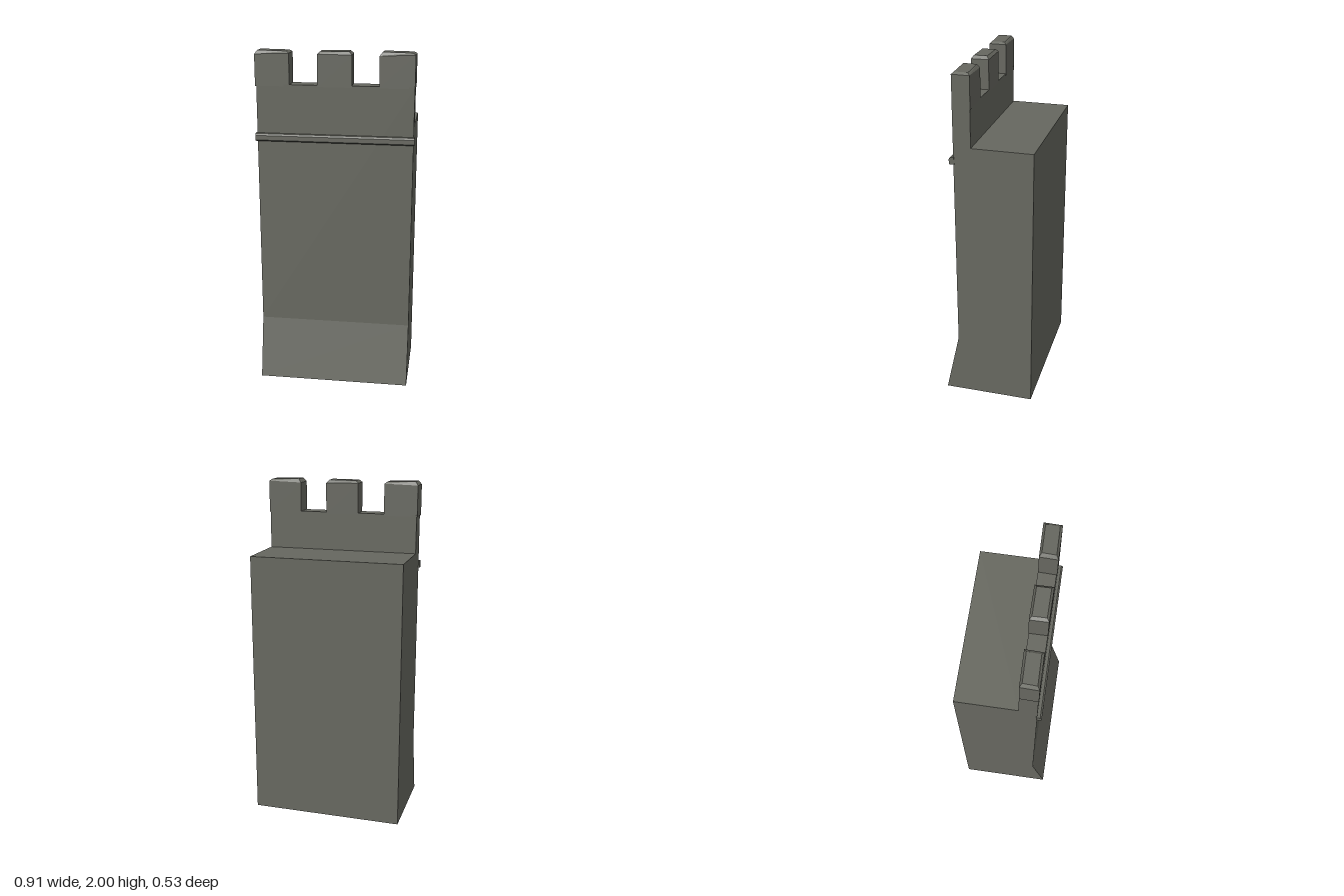
import * as THREE from 'three';

export function createModel() {
  const model = new THREE.Group();
  const stone = new THREE.MeshStandardMaterial({ color: 0x66675f });
  stone.name = 'stone';

  const add = (name, geometry) => {
    const flat = geometry.index ? geometry.toNonIndexed() : geometry;
    flat.computeVertexNormals();
    const mesh = new THREE.Mesh(flat, stone);
    mesh.name = name;
    model.add(mesh);
  };

  // Sweeps a side profile of [z, y] points from x0 to x1
  const sweep = (points, x0, x1) => {
    const shape = new THREE.Shape(points.map(([z, y]) => new THREE.Vector2(z, y)));
    return new THREE.ExtrudeGeometry(shape, { depth: x1 - x0, bevelEnabled: false })
      .rotateY(-Math.PI / 2)
      .translate(x1, 0, 0);
  };

  // Wall with sloped foot, walkway and parapet
  add('wall', sweep([
    [-0.265, 0], [0.265, 0], [0.185, 0.365], [0.185, 1.81],
    [0.085, 1.81], [0.085, 1.585], [-0.265, 1.585],
  ], -0.45, 0.45));

  // String course, slightly crooked
  const ledge = sweep([
    [0.18, 1.487], [0.202, 1.485], [0.209, 1.492], [0.209, 1.518], [0.2, 1.528], [0.18, 1.53],
  ], -0.458, 0.456);
  const lp = ledge.attributes.position;
  for (let i = 0; i < lp.count; i++) {
    if (lp.getX(i) > 0) lp.setY(i, lp.getY(i) - 0.002);
    else if (lp.getZ(i) > 0.19) lp.setZ(i, lp.getZ(i) + 0.002);
  }
  add('stringCourse', ledge);

  // Merlons: blocks with a chamfered, slightly uneven top
  const merlon = (x0, x1, lean) => {
    const g = new THREE.BoxGeometry(1, 1, 1, 1, 2, 1);
    const p = g.attributes.position;
    for (let i = 0; i < p.count; i++) {
      const sx = Math.sign(p.getX(i)), sz = Math.sign(p.getZ(i)), row = p.getY(i);
      const inset = row > 0.25 ? 0.016 : 0;
      const y = row < -0.25 ? 1.8 : row > 0.25 ? 1.998 + lean * sx * 0.5 : 1.982 - lean * sx;
      p.setXYZ(i,
        (x0 + x1) / 2 + sx * ((x1 - x0) / 2 - inset) + lean * sz * 0.5,
        y,
        0.135 + sz * (0.051 - inset * 0.8) + lean * sx * 0.5);
    }
    return g;
  };
  add('merlonRight', merlon(-0.455, -0.258, -0.003));
  add('merlonMiddle', merlon(-0.099, 0.097, 0.001));
  add('merlonLeft', merlon(0.253, 0.452, -0.003));

  return model;
}
